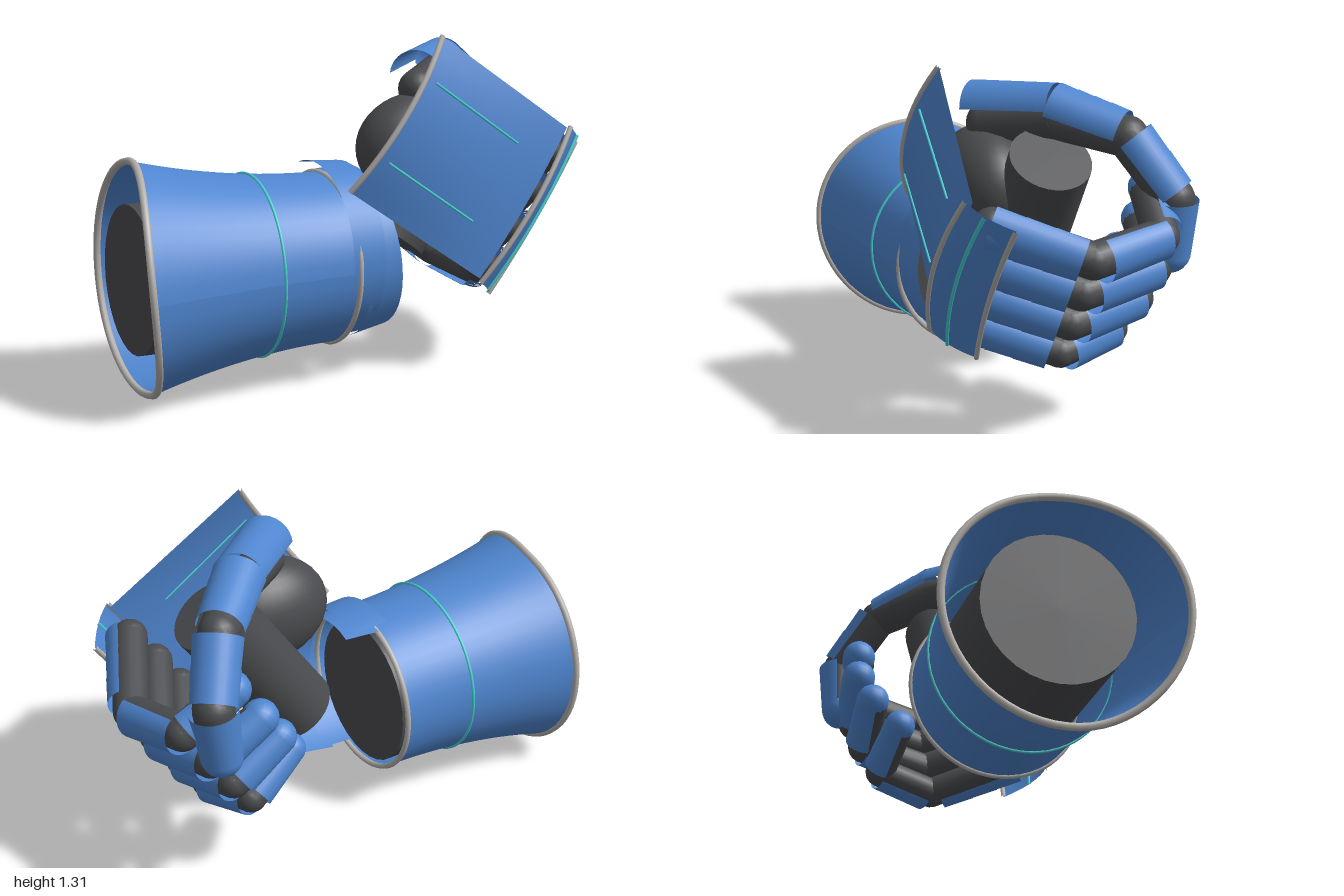
import * as THREE from 'three';

const mat = (color, side = THREE.FrontSide) => new THREE.MeshStandardMaterial({ color, side });
const BLUE = mat(0x4f86d0, THREE.DoubleSide);
const DARK = mat(0x4a4b4e);
const TRIM = mat(0xb4b0ac);
const GLOW = mat(0x45d0d0);
const V = (x, y, z) => new THREE.Vector3(x, y, z);

function add(parent, name, geometry, material) {
  const m = new THREE.Mesh(geometry, material);
  m.name = name;
  parent.add(m);
  return m;
}

// Places a y-axis piece between two points, its +z side turned to "out"
function align(mesh, a, b, out) {
  const y = b.clone().sub(a).normalize();
  const z = out.clone().addScaledVector(y, -out.dot(y)).normalize();
  const x = y.clone().cross(z);
  mesh.quaternion.setFromRotationMatrix(new THREE.Matrix4().makeBasis(x, y, z));
  mesh.position.copy(a).add(b).multiplyScalar(0.5);
}

// Open curved plate around the line a-b
function shell(parent, name, a, b, ra, rb, out, half = 1.65, seg = 16) {
  const g = new THREE.CylinderGeometry(rb, ra, a.distanceTo(b), seg, 1, true, -half, half * 2);
  align(add(parent, name, g, BLUE), a, b, out);
}

// Row of overlapping plates along the line a-b, from fraction t0 to t1
function lames(parent, name, a, b, t0, t1, n, ra, rb, out) {
  const step = (t1 - t0) / n;
  for (let i = 0; i < n; i++) {
    const r = ra + (rb - ra) * (i / n);
    const p = a.clone().lerp(b, t0 + step * i);
    const q = a.clone().lerp(b, t0 + step * (i + 1.12));
    shell(parent, name, p, q, r, r * 0.95, out);
  }
}

function ball(parent, name, p, r, material) {
  add(parent, name, new THREE.SphereGeometry(r, 18, 12), material).position.copy(p);
}

// Solid dark limb with rounded joints
function core(parent, name, pts, r) {
  pts.forEach((p, i) => {
    ball(parent, name + 'Joint', p, r, DARK);
    if (!i) return;
    const a = pts[i - 1];
    const m = add(parent, name + 'Bone', new THREE.CylinderGeometry(r, r, a.distanceTo(p), 16), DARK);
    align(m, a, p, V(0.31, 0.22, 0.93));
  });
}

// Sheet whose points are given by fn(s, t), both running 0..1
function sheet(parent, name, fn, ns, nt) {
  const g = new THREE.PlaneGeometry(1, 1, ns, nt);
  const p = g.attributes.position;
  for (let i = 0; i < p.count; i++) {
    const q = fn(p.getX(i) + 0.5, p.getY(i) + 0.5);
    p.setXYZ(i, q.x, q.y, q.z);
  }
  g.computeVertexNormals();
  return add(parent, name, g, BLUE);
}

// Bead following fn(k), k running 0..1
function bead(parent, name, fn, r, material, closed = false) {
  const n = closed ? 32 : 10;
  const pts = Array.from({ length: closed ? n : n + 1 }, (_, i) => fn(i / n));
  const curve = new THREE.CatmullRomCurve3(pts, closed);
  add(parent, name, new THREE.TubeGeometry(curve, closed ? 64 : 20, r, 8, closed), material);
}

function buildCuff(root) {
  const cuff = new THREE.Group();
  cuff.name = 'cuff';
  root.add(cuff);
  // Flared sleeve whose rear rim sweeps back at the front
  const surface = (s, t, grow = 0) => {
    const a = s * Math.PI * 2;
    const sweep = 0.11 * Math.pow(Math.max(0, Math.cos(a - 0.2)), 1.5) * (1 - t) ** 2;
    const r = 0.33 + 0.1 * (1 - t) ** 2 + grow;
    return V(-0.88 + 0.75 * t - sweep, 0.44 + r * Math.sin(a), 0.03 + r * Math.cos(a));
  };
  sheet(cuff, 'sleeve', surface, 48, 16);
  bead(cuff, 'rearRim', k => surface(k, 0), 0.014, TRIM, true);
  bead(cuff, 'wristRim', k => surface(k, 1), 0.011, TRIM, true);
  bead(cuff, 'glowBand', k => surface(k, 0.6, 0.002), 0.006, GLOW, true);

  const arm = add(cuff, 'forearm', new THREE.CylinderGeometry(0.29, 0.28, 0.77, 32), DARK);
  align(arm, V(-0.9, 0.43, 0.01), V(-0.13, 0.43, 0.02), V(0, 0, 1));

  // Wrist plates bridging cuff and hand
  const out = V(0, 0.31, 0.95);
  shell(cuff, 'wristPlate', V(-0.16, 0.47, 0.02), V(-0.02, 0.47, 0.02), 0.345, 0.335, out, 1.6, 24);
  shell(cuff, 'wristPlate', V(-0.09, 0.45, 0.02), V(0.055, 0.468, 0.02), 0.33, 0.32, out, 1.6, 24);
}

function buildHand(root) {
  // Hand frame: x towards the knuckles, y across to the thumb, z out of the back
  const hand = new THREE.Group();
  hand.name = 'hand';
  hand.rotation.z = -35 * Math.PI / 180;
  root.add(hand);

  // Back plate, arched at the wrist and flatter at the knuckles
  const back = (s, t, lift = 0) => {
    const c = 2 * t - 1;
    return V(-0.546 + 0.65 * s, 0.86 + 0.34 * c, 0.38 + 0.01 * s - (0.07 - 0.05 * s) * c * c + lift);
  };
  sheet(hand, 'backPlate', back, 8, 12);
  bead(hand, 'backPlateRim', k => back(0, k), 0.011, TRIM);
  for (const t of [0.24, 0.75]) {
    bead(hand, 'backGlowLine', k => back(0.07 + 0.67 * k, t, 0.002), 0.005, GLOW);
  }

  // Knuckle guard, sloping over the finger roots
  const guard = (s, t, lift = 0) => {
    const c = 2 * t - 1;
    return V(0.1 + 0.15 * s + lift, 0.855 + 0.35 * c, 0.445 - 0.08 * s - 0.085 * s * s - (0.05 - 0.03 * s) * c * c + lift);
  };
  sheet(hand, 'knuckleGuard', guard, 6, 12);
  for (const s of [0, 1]) bead(hand, 'knuckleRim', k => guard(s, k), 0.01, TRIM);
  bead(hand, 'knuckleGlowLine', k => guard(0.5, k, 0.002), 0.007, GLOW);

  // Palm roll
  const palm = add(hand, 'palm', new THREE.CylinderGeometry(0.15, 0.15, 0.63, 32), DARK);
  palm.position.set(-0.12, 0.82, 0);

  // Curled fingers: little, ring, middle, index
  const fingers = [[0.59, -0.25, -0.22, 0.9], [0.76, -0.3, -0.31, 0.97], [0.93, -0.32, -0.35, 1], [1.1, -0.3, -0.33, 1]];
  for (const [v, zMid, zTip, k] of fingers) {
    const finger = new THREE.Group();
    finger.name = 'finger';
    hand.add(finger);
    const [a, b, c, d] = [V(0.13, v, 0.29), V(0.325, v, -0.02), V(0.25, v, zMid), V(0.02, v, zTip)];
    core(finger, 'finger', [a, b, c, d], 0.066 * k);
    lames(finger, 'lowerFingerPlate', a, b, 0, 0.87, 3, 0.093 * k, 0.087 * k, V(1, 0, 0.5));
    lames(finger, 'middleFingerPlate', b, c, 0.1, 0.95, 2, 0.088 * k, 0.08 * k, V(1, 0, -0.3));
    shell(finger, 'fingertipPlate', c.clone().lerp(d, 0.1), d, 0.08 * k, 0.068 * k, V(0, 0, -1));
    ball(finger, 'fingertip', d, 0.068 * k, BLUE);
  }
}

function buildThumb(root) {
  const thumb = new THREE.Group();
  thumb.name = 'thumb';
  root.add(thumb);
  // Fleshy base of the thumb
  const base = add(thumb, 'thumbBase', new THREE.SphereGeometry(1, 32, 20), DARK);
  base.position.set(0.24, 0.86, 0.14);
  base.scale.set(0.26, 0.21, 0.17);

  const [a, b, c, d, e] = [V(0.21, 1.13, 0.17), V(0.46, 1.15, -0.06), V(0.65, 1.08, -0.25), V(0.755, 0.87, -0.385), V(0.73, 0.67, -0.385)];
  core(thumb, 'thumb', [V(0.24, 1.08, 0.13), V(0.46, 1.12, -0.06), c, d, e], 0.075);
  const out = (p, q) => p.clone().add(q).multiplyScalar(0.5).sub(V(0.4, 0.8, 0));
  shell(thumb, 'thumbBackPlate', a, b, 0.105, 0.1, V(0, 1, 0), 1.45);
  lames(thumb, 'thumbKnucklePlate', b, c, -0.05, 0.9, 4, 0.1, 0.092, out(b, c));
  lames(thumb, 'thumbMiddlePlate', c, d, 0.05, 0.9, 2, 0.092, 0.088, out(c, d));
  shell(thumb, 'thumbTipPlate', d, e, 0.09, 0.077, out(d, e), 1.9);
  ball(thumb, 'thumbTip', e, 0.077, BLUE);
}

export function createModel() {
  const root = new THREE.Group();
  root.name = 'gauntlet';
  buildCuff(root);
  buildHand(root);
  buildThumb(root);
  return root;
}
